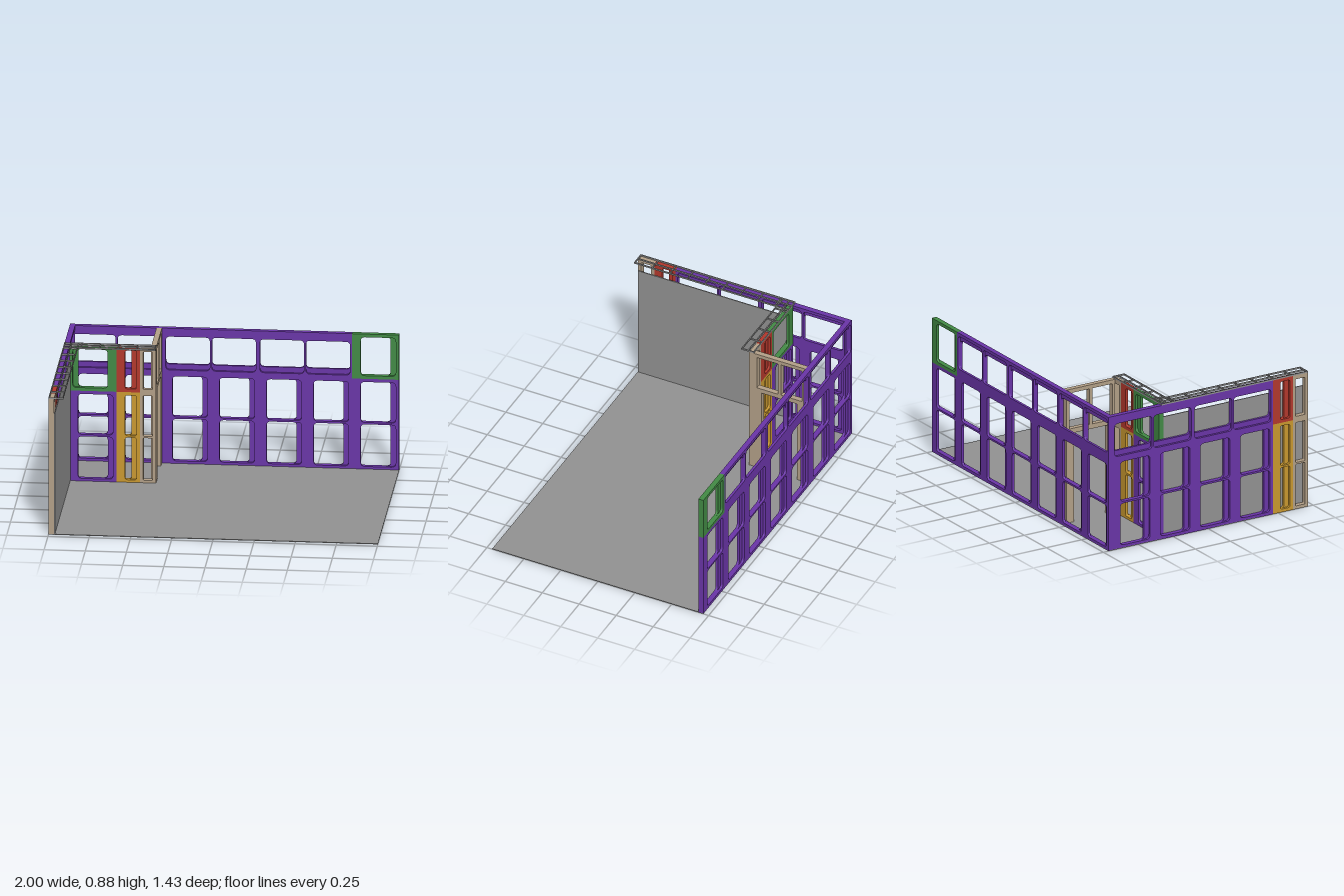
import * as THREE from 'three';

const paint = (name, color) => {
  const m = new THREE.MeshStandardMaterial({ color });
  m.name = name;
  return m;
};

// Modular sizes: panel width, lower panel height, total height, thickness
const W = 2 / 7, H = W * 2 + 0.008, TOP = H + W, T = 0.033;
const BACK = -0.714, FRONT = 0.714;

export function createModel() {
  const model = new THREE.Group();
  const purple = paint('purple', 0x6a35a8), green = paint('green', 0x428a45);
  const red = paint('red', 0xb3382c), yellow = paint('yellow', 0xc9982f);
  const tan = paint('tan', 0xb3a088), gray = paint('gray', 0x929292);

  function box(parent, name, mat, x0, x1, y0, y1, z0, z1) {
    const m = new THREE.Mesh(new THREE.BoxGeometry(x1 - x0, y1 - y0, z1 - z0), mat);
    m.position.set((x0 + x1) / 2, (y0 + y1) / 2, (z0 + z1) / 2);
    m.name = name;
    parent.add(m);
  }

  // Opening with rounded corners
  function opening(x0, x1, y0, y1, r) {
    const p = new THREE.Path();
    p.moveTo(x0 + r, y0);
    p.lineTo(x1 - r, y0);
    p.quadraticCurveTo(x1, y0, x1, y0 + r);
    p.lineTo(x1, y1 - r);
    p.quadraticCurveTo(x1, y1, x1 - r, y1);
    p.lineTo(x0 + r, y1);
    p.quadraticCurveTo(x0, y1, x0, y1 - r);
    p.lineTo(x0, y0 + r);
    p.quadraticCurveTo(x0, y0, x0 + r, y0);
    return p;
  }

  function plate(w, h, depth, holes, r) {
    const s = new THREE.Shape([[0, 0], [w, 0], [w, h], [0, h]].map(([x, y]) => new THREE.Vector2(x, y)));
    for (const o of holes) s.holes.push(opening(...o, r));
    return new THREE.ExtrudeGeometry(s, { depth, bevelEnabled: false, curveSegments: 4 });
  }

  // Panel of two layers whose openings are offset to opposite sides
  function panel(parent, name, mat, x, y, w, h, rows, a, b, r = 0.025) {
    const g = new THREE.Group();
    g.name = name;
    const layer = (l, rt, z) => {
      const m = new THREE.Mesh(plate(w, h, T / 2, rows.map(([y0, y1]) => [l, rt, y0, y1]), r), mat);
      m.position.z = z;
      g.add(m);
    };
    layer(a, b, T / 2);
    layer(w - b, w - a, 0);
    g.position.set(x, y, 0);
    parent.add(g);
    return g;
  }

  const twoRows = [[0.02, 0.289], [0.301, H - 0.02]];
  const oneRow = [[0.02, W - 0.02]];
  const lower = (p, x) => panel(p, 'lowerPanel', purple, x, 0, W, H, twoRows, 0.053, W - 0.02);
  // A lower panel laid on its side spans two bays
  const upper = (p, x) => {
    const g = panel(p, 'upperPanel', purple, x, TOP, W, W * 2,
      [[0.012, W - 0.006], [W + 0.006, W * 2 - 0.012]], 0.053, W - 0.02);
    g.rotation.z = -Math.PI / 2;
  };
  const halfBay = (p, x) => {
    panel(p, 'narrowLowerPanel', yellow, x, 0, W / 2, H, twoRows, 0.053, W / 2 - 0.02, 0.015);
    panel(p, 'narrowUpperPanel', red, x, H, W / 2, W, oneRow, 0.053, W / 2 - 0.02, 0.015);
  };
  const endColumn = (p, x, w) =>
    panel(p, 'endColumn', tan, x, 0, w, TOP, [...twoRows, [H + 0.02, TOP - 0.025]], 0.02, w - 0.022, 0.006);

  function wall(name, x, z, angle) {
    const g = new THREE.Group();
    g.name = name;
    g.position.set(x, 0, z);
    g.rotation.y = angle;
    model.add(g);
    return g;
  }

  // Floor and inner lining
  box(model, 'floor', gray, -1, 1, 0, 0.004, BACK, FRONT);
  box(model, 'innerLining', gray, -1 + T, -1 + T + 0.006, 0.004, 0.775, -0.3, FRONT);

  // Back wall
  const back = wall('backWall', -1, BACK, 0);
  for (let i = 0; i < 7; i++) lower(back, i * W);
  for (let i = 0; i < 3; i++) upper(back, i * 2 * W);
  panel(back, 'squarePanel', green, 6 * W, H, W, W, oneRow, 0.053, W - 0.02);

  // Side wall, facing outward
  const side = wall('sideWall', -1 + T, BACK + T, -Math.PI / 2);
  for (let i = 0; i < 4; i++) lower(side, i * W);
  for (let i = 0; i < 2; i++) upper(side, i * 2 * W);
  halfBay(side, 4 * W);
  endColumn(side, 4.5 * W, FRONT - BACK - T - 4.5 * W);

  // Short partition
  const part = wall('partition', -1 + T, -0.3 - T, 0);
  lower(part, 0);
  panel(part, 'squarePanel', green, 0, H, W, W, oneRow, 0.02, W - 0.053);
  halfBay(part, W);
  endColumn(part, 1.5 * W, 0.527 - 1.5 * W);

  // Doorway wall joining the partition to the back wall
  const door = wall('doorwayWall', -0.44 - T, -0.3 - T, Math.PI / 2);
  const len = -0.3 - T - (BACK + T);
  box(door, 'doorPost', tan, 0, 0.052, 0, H, 0, T);
  box(door, 'doorPost', tan, len - 0.055, len, 0, H, 0, T);
  const transom = new THREE.Mesh(plate(len, TOP - H, T,
    [[0.02, 0.163, 0.03, W - 0.025], [0.183, len - 0.022, 0.03, W - 0.025]], 0.003), tan);
  transom.name = 'transom';
  transom.position.y = H;
  door.add(transom);

  // Ladder-like rails on top of the side wall and partition
  const y0 = TOP, y1 = TOP + 0.01, t = 0.003;
  for (const x of [-0.997, -0.957, -0.913])
    box(model, 'topRail', gray, x - t, x + t, y0, y1, -0.333, FRONT);
  for (let i = 0; i < 9; i++) {
    const z = FRONT - t - i * 0.1185;
    box(model, 'topRung', gray, -1, -0.91, y0, y1, z - t, z + t);
  }
  for (const z of [-0.25, -0.293, -0.33])
    box(model, 'topRail', gray, -1, -0.44, y0, y1, z - t, z + t);
  for (let i = 0; i < 5; i++) {
    const x = -0.443 - i * 0.112;
    box(model, 'topRung', gray, x - t, x + t, y0, y1, -0.333, -0.247);
  }
  return model;
}
